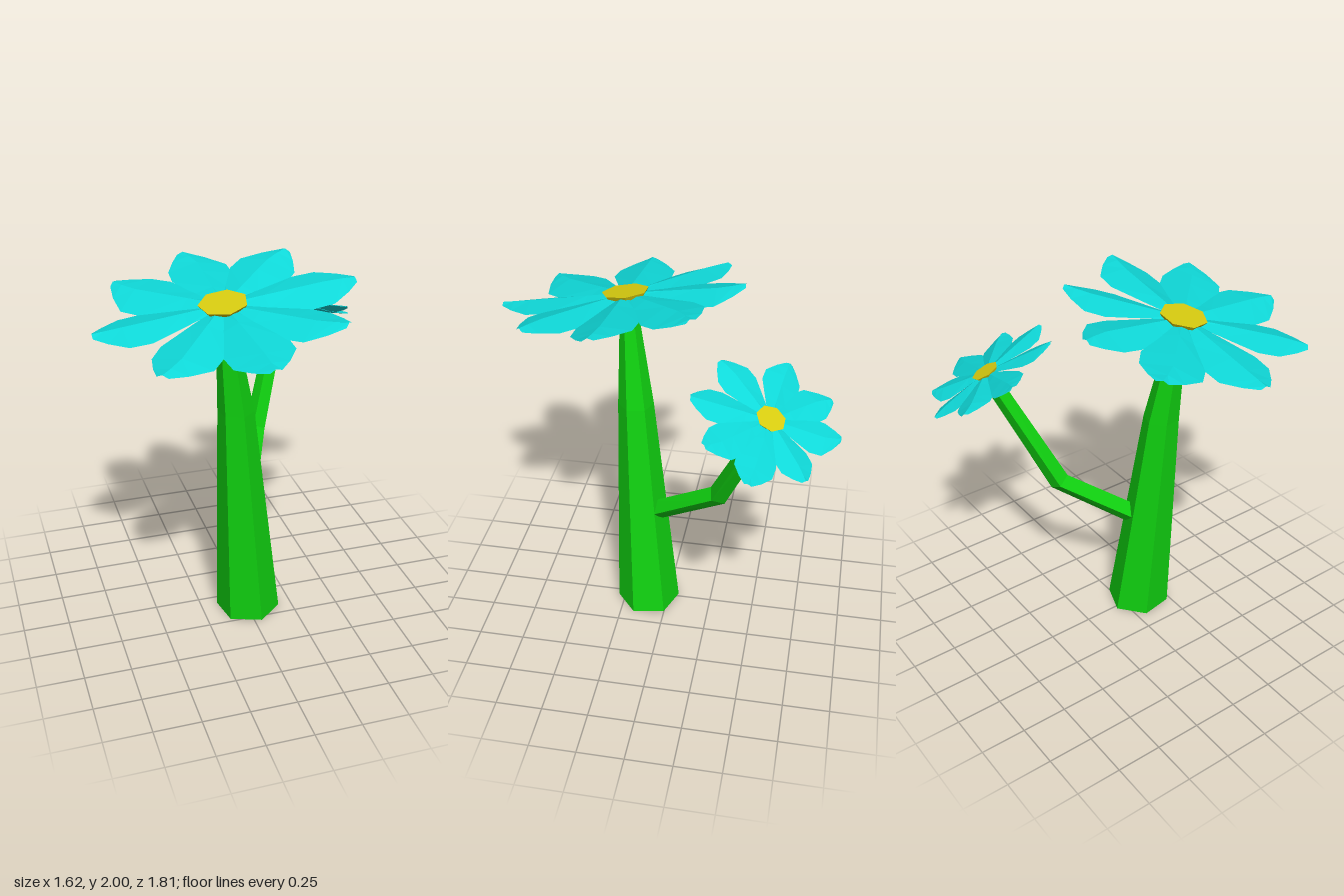
import * as THREE from 'three';

const material = (color, side = THREE.FrontSide) =>
  new THREE.MeshStandardMaterial({ color, side, flatShading: true });
const stemMat = material(0x10d010);
const petalMat = material(0x0fd8d8, THREE.DoubleSide);
const centreMat = material(0xd8cc10);

function meshFrom(points, index, mat, name) {
  const geo = new THREE.BufferGeometry().setFromPoints(points);
  geo.setIndex(index);
  const flat = geo.toNonIndexed();
  flat.computeVertexNormals();
  const mesh = new THREE.Mesh(flat, mat);
  mesh.name = name;
  return mesh;
}

// Faceted stalk: rings of [x, y, z, radius, tangent] joined and capped
function stalk(name, rings, sides, phase) {
  const points = [], index = [];
  for (const [x, y, z, r, dir] of rings) {
    const t = new THREE.Vector3(...dir).normalize();
    const u = new THREE.Vector3().crossVectors(t, new THREE.Vector3(0, 0, 1)).normalize();
    const v = new THREE.Vector3().crossVectors(u, t);
    for (let i = 0; i < sides; i++) {
      const a = phase + (i / sides) * Math.PI * 2;
      points.push(new THREE.Vector3(x, y, z)
        .addScaledVector(u, r * Math.cos(a)).addScaledVector(v, r * Math.sin(a)));
    }
  }
  const last = (rings.length - 1) * sides;
  for (let k = 0; k < last; k += sides) {
    for (let i = 0; i < sides; i++) {
      const j = (i + 1) % sides;
      const a = k + i, b = k + j, c = b + sides, d = a + sides;
      index.push(a, d, b, b, d, c);
    }
  }
  for (let i = 1; i < sides - 1; i++) {
    index.push(0, i, i + 1, last, last + i + 1, last + i);
  }
  return meshFrom(points, index, stemMat, name);
}

// Petal along +x, folded along its midrib; skew shifts the tip sideways
function petal(length, skew) {
  const outline = [[0.04, 0.03], [0.2, 0.09], [0.39, 0.16], [0.5, 0.155], [0.59, 0.09], [0.65, 0.03]];
  const points = [], index = [];
  outline.forEach(([r, w], k) => {
    const shift = k > 3 ? skew * (k - 3) * 0.5 : 0;
    for (const s of [-1, 0, 1]) {
      points.push(new THREE.Vector3(r * length / 0.65, s ? -0.18 * w : 0.008, s * w + shift));
    }
    if (!k) return;
    for (let s = 0; s < 2; s++) {
      const a = (k - 1) * 3 + s, b = a + 3, c = b + 1, d = a + 1;
      index.push(a, d, b, d, c, b);
    }
  });
  return meshFrom(points, index, petalMat, 'petal');
}

// Flower head: eight [angle, length, tip skew, roll] petals and a flat centre
function flower(name, petals, position, normal, scale) {
  const group = new THREE.Group();
  group.name = name;
  for (const [angle, length, skew, roll] of petals) {
    const p = petal(length, skew);
    p.rotation.set(roll, -THREE.MathUtils.degToRad(angle), 0, 'YXZ');
    group.add(p);
  }
  const centre = new THREE.Mesh(new THREE.CylinderGeometry(0.125, 0.1, 0.036, 7), centreMat);
  centre.name = 'flowerCentre';
  group.add(centre);
  group.position.set(...position);
  group.quaternion.setFromUnitVectors(new THREE.Vector3(0, 1, 0), new THREE.Vector3(...normal).normalize());
  group.scale.setScalar(scale);
  return group;
}

export function createModel() {
  const model = new THREE.Group();
  model.name = 'flowerPlant';

  // Tapering hexagonal main stem, flaring under the flower
  const up = [0, 1, 0];
  model.add(stalk('mainStem', [
    [0.01, 0.005, 0.115, 0.177, up],
    [-0.08, 1.28, 0.19, 0.096, up],
    [-0.135, 1.72, 0.225, 0.055, up],
    [-0.155, 1.865, 0.255, 0.068, [-0.14, 1, 0.14]],
  ], 6, Math.PI / 9));

  // Square side branch with one elbow
  model.add(stalk('sideBranch', [
    [0.01, 0.645, 0.06, 0.058, [0.16, 0.28, -0.35]],
    [0.18, 0.915, -0.3, 0.057, [0.42, 1, -0.68]],
    [0.415, 1.56, -0.565, 0.045, [0.34, 1, -0.42]],
  ], 4, 0.6));

  model.add(flower('largeFlower', [
    [1, 0.67, 0.02, 0.06], [44, 0.64, -0.03, -0.06], [85, 0.65, 0.01, 0.05], [129, 0.64, 0.03, -0.05],
    [181, 0.65, 0, 0.06], [224, 0.65, 0.03, -0.06], [270, 0.62, -0.04, 0.08], [315, 0.62, 0.03, 0.1],
  ], [-0.16, 1.88, 0.25], [-0.14, 1, 0.14], 1));

  model.add(flower('smallFlower', [
    [4, 0.67, 0.01, 0.06], [41, 0.66, 0.03, -0.05], [83, 0.66, 0, 0.05], [130, 0.63, -0.03, -0.06],
    [184, 0.63, 0.01, 0.06], [224, 0.63, 0.03, -0.06], [266, 0.6, -0.04, 0.06], [318, 0.58, 0.02, -0.06],
  ], [0.42, 1.575, -0.57], [0.34, 1, -0.41], 0.61));

  return model;
}
